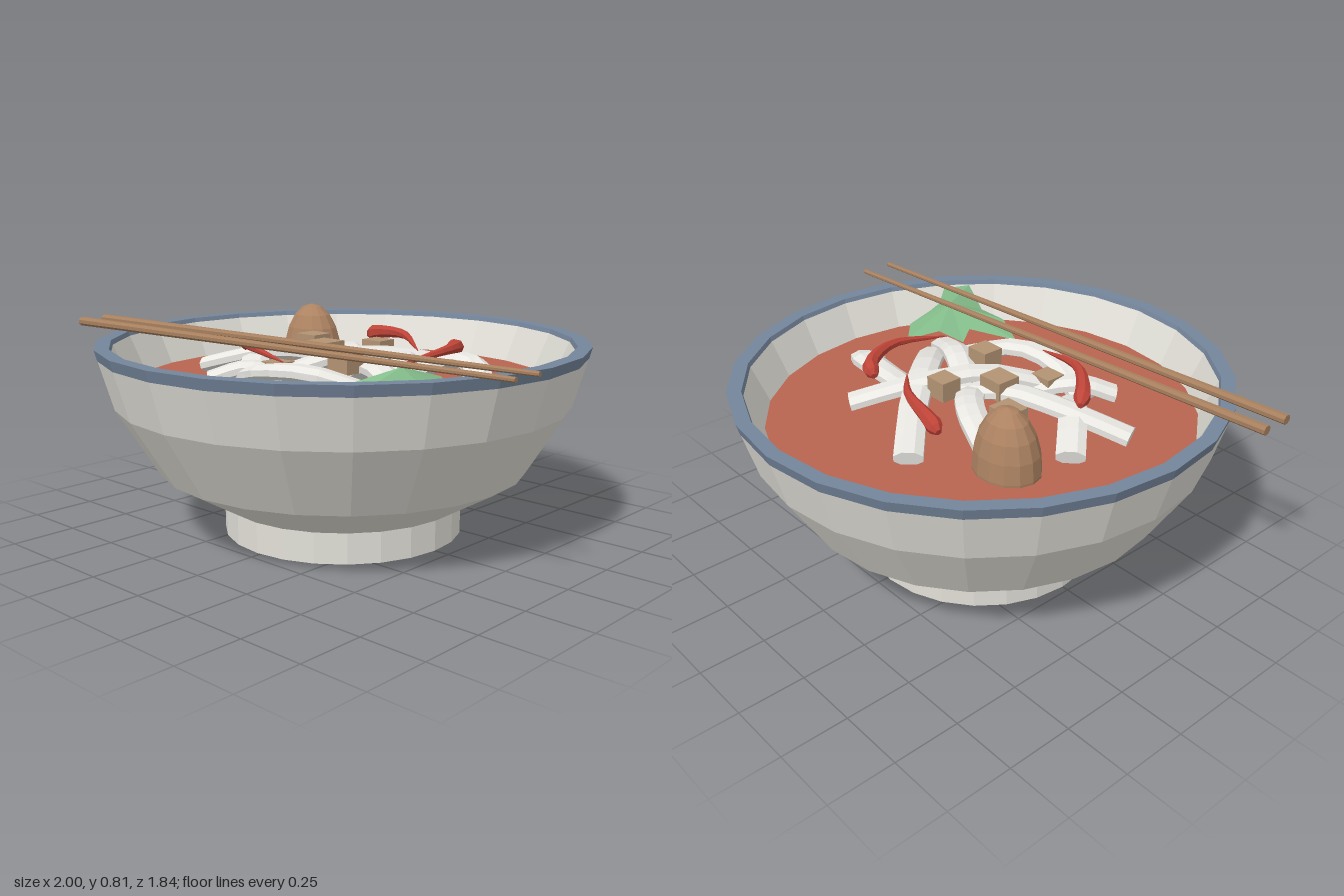
import * as THREE from 'three';

const mat = (name, color, side = THREE.FrontSide) =>
  Object.assign(new THREE.MeshStandardMaterial({ color, flatShading: true, side }), { name });

const CX = -0.017; // bowl axis; the chopsticks overhang a little further on the other side
const SIDES = 24;

// Closed sweep along a smooth path; size(t) gives [half width, half height]
function sweep(path, steps, sides, size) {
  const curve = new THREE.CatmullRomCurve3(path.map(p => new THREE.Vector3(...p)));
  const up = new THREE.Vector3(0, 1, 0), pos = [], idx = [];
  for (let i = 0; i <= steps; i++) {
    const t = i / steps, p = curve.getPoint(t), tan = curve.getTangent(t);
    const s = tan.clone().cross(up).normalize(), u = s.clone().cross(tan);
    const [w, h] = size(t);
    for (let j = 0; j < sides; j++) {
      const a = ((j + 0.5) / sides) * Math.PI * 2;
      const v = p.clone().addScaledVector(s, Math.cos(a) * w).addScaledVector(u, Math.sin(a) * h);
      pos.push(v.x, v.y, v.z);
    }
  }
  for (let i = 0; i < steps; i++) for (let j = 0; j < sides; j++) {
    const k = (j + 1) % sides, r = i * sides, q = r + sides;
    idx.push(r + j, q + j, r + k, q + j, q + k, r + k);
  }
  const e = steps * sides;
  for (let j = 1; j < sides - 1; j++) idx.push(0, j, j + 1, e, e + j + 1, e + j);
  const g = new THREE.BufferGeometry();
  g.setAttribute('position', new THREE.Float32BufferAttribute(pos, 3));
  g.setIndex(idx);
  g.computeVertexNormals();
  return g;
}

const lathe = pts => new THREE.LatheGeometry(pts.map(p => new THREE.Vector2(...p)), SIDES);

export function createModel() {
  const model = new THREE.Group();
  model.name = 'noodleSoupBowl';
  const M = {
    ceramic: mat('ceramic', 0xe2e0d8),
    rim: mat('blueGlaze', 0x74859b),
    broth: mat('redBroth', 0xb9654f),
    noodle: mat('noodleWhite', 0xe8e7e2),
    chili: mat('chiliRed', 0xbf4438),
    leaf: mat('leafGreen', 0x84bd8b, THREE.DoubleSide),
    egg: mat('eggBrown', 0xad8362),
    tofu: mat('tofuTan', 0xb39474),
    wood: mat('wood', 0xa67f5e),
  };
  const add = (name, geo, material, x = 0, y = 0, z = 0) => {
    const m = new THREE.Mesh(geo, material);
    m.name = name;
    m.position.set(x, y, z);
    model.add(m);
    return m;
  };

  // Bowl: recessed base, foot ring and outer wall, then the inner wall
  add('bowlOuter', lathe([[0, 0.045], [0.41, 0.045], [0.415, 0], [0.457, 0], [0.457, 0.115],
    [0.46, 0.116], [0.7, 0.255], [0.857, 0.51], [0.91, 0.695]]), M.ceramic, CX);
  add('bowlInner', lathe([[0.862, 0.715], [0.8, 0.575], [0.76, 0.5]]), M.ceramic, CX);
  add('rim', lathe([[0.91, 0.692], [0.921, 0.732], [0.868, 0.732], [0.862, 0.715]]), M.rim, CX);
  add('broth', new THREE.CircleGeometry(0.802, SIDES).rotateX(-Math.PI / 2), M.broth, CX, 0.576);

  // Noodles, arching out of the broth
  const noodles = [
    [[-0.16, 0.6, -0.46], [0.08, 0.65, -0.24], [0.25, 0.66, -0.05], [0.42, 0.6, 0.12]],
    [[0.29, 0.61, -0.38], [0.15, 0.67, -0.16], [0.03, 0.68, 0.07], [-0.11, 0.61, 0.28]],
    [[0.54, 0.6, -0.09], [0.47, 0.66, -0.18], [0.36, 0.67, -0.2], [0.23, 0.62, -0.16]],
    [[-0.3, 0.61, -0.22], [-0.16, 0.66, -0.17], [-0.05, 0.66, -0.09], [0.03, 0.62, 0.02]],
    [[-0.56, 0.6, 0.22], [-0.34, 0.66, 0.11], [-0.12, 0.67, 0.04], [0.1, 0.62, -0.06]],
    [[-0.52, 0.6, -0.04], [-0.38, 0.64, 0.11], [-0.24, 0.6, 0.25]],
    [[-0.3, 0.6, 0.42], [-0.2, 0.64, 0.32], [-0.08, 0.61, 0.2]],
    [[-0.24, 0.6, 0.31], [-0.05, 0.65, 0.36], [0.15, 0.66, 0.33], [0.33, 0.6, 0.22]],
    [[0.08, 0.61, 0.02], [0.25, 0.66, 0.11], [0.46, 0.6, 0.21]],
  ];
  noodles.forEach((p, i) => add('noodle' + (i + 1), sweep(p, 7, 8, () => [0.056, 0.03]), M.noodle));

  // Chili peppers, thick at the stem and tapering to a point
  const chilies = [
    [[-0.21, 0.69, -0.365], [-0.14, 0.71, -0.352], [0.02, 0.72, -0.31], [0.2, 0.69, -0.18]],
    [[0.27, 0.69, -0.28], [0.33, 0.71, -0.25], [0.395, 0.72, -0.09], [0.365, 0.69, 0.14]],
    [[-0.395, 0.69, 0.13], [-0.34, 0.71, 0.2], [-0.21, 0.72, 0.3], [0.015, 0.69, 0.345]],
  ];
  chilies.forEach((p, i) => add('chili' + (i + 1), sweep(p, 10, 7, t => {
    const r = 0.002 + 0.036 * Math.min(1, Math.sqrt(t * 5 + 0.08)) * (1 - t) ** 0.8;
    return [r, r];
  }), M.chili));

  // Egg standing in the broth
  add('egg', new THREE.SphereGeometry(1, 14, 10), M.egg, -0.4, 0.585, -0.225).scale.set(0.132, 0.23, 0.112);

  // Tofu cubes
  [[-0.27, 0.68, -0.1, 0.1], [0.045, 0.685, -0.13, 0.09], [-0.08, 0.685, 0.03, 0.105],
    [0.14, 0.68, 0.155, 0.095], [-0.11, 0.63, 0.25, 0.09]].forEach(([x, y, z, s], i) =>
    add('tofu' + (i + 1), new THREE.BoxGeometry(s, 0.075, s * 0.92), M.tofu, x, y, z));

  // Crumpled leaf: a jagged outline fanned around a raised fold
  const edge = [[0.49, 0.66, 0.05], [0.6, 0.66, 0.15], [0.6, 0.69, 0.26], [0.63, 0.69, 0.33],
    [0.705, 0.71, 0.42], [0.645, 0.72, 0.51], [0.5, 0.67, 0.455], [0.38, 0.66, 0.47],
    [0.26, 0.62, 0.43], [0.4, 0.66, 0.3], [0.37, 0.63, 0.24], [0.45, 0.67, 0.18]];
  const fan = edge.flatMap((p, i) => [...[0.53, 0.73, 0.31], ...edge[(i + 1) % edge.length], ...p]);
  const leaf = new THREE.BufferGeometry();
  leaf.setAttribute('position', new THREE.Float32BufferAttribute(fan, 3));
  leaf.computeVertexNormals();
  add('leaf', leaf, M.leaf);

  // Chopsticks resting across the rim, thinner toward the tips
  [[0.378, 0.22], [0.487, 0.347]].forEach(([z0, z1], i) =>
    add('chopstick' + (i + 1), sweep([[-1, 0.757, z0], [1, 0.753, z1]], 1, 8, t => {
      const r = 0.02 - 0.01 * t;
      return [r, r * 0.9];
    }), M.wood));

  return model;
}
